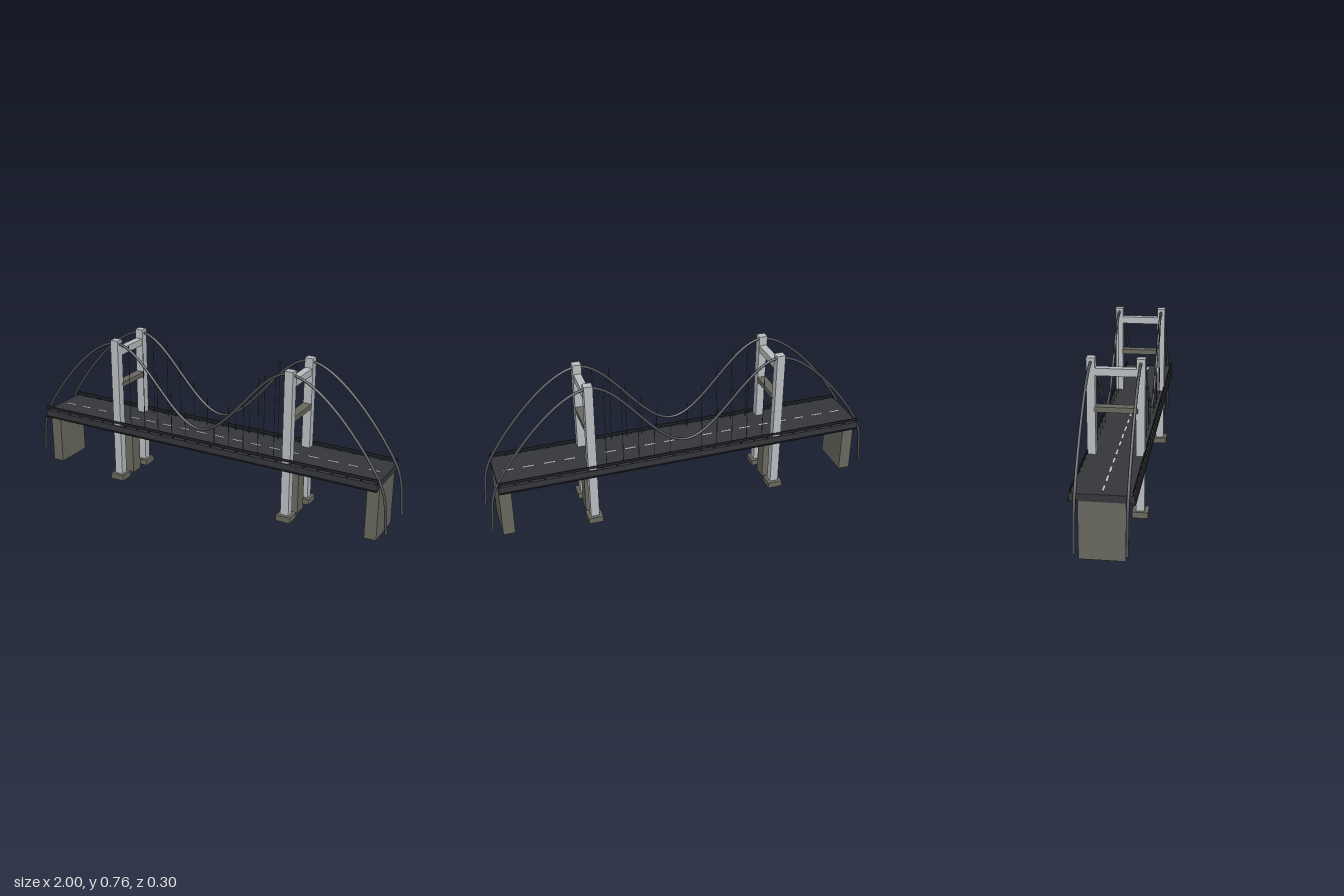
import * as THREE from 'three';

const mat = (color) => new THREE.MeshStandardMaterial({ color });

export function createModel() {
  const bridge = new THREE.Group();
  bridge.name = 'suspensionBridge';

  const asphalt = mat(0x34363a);
  const darkSteel = mat(0x222326);
  const concrete = mat(0x68685f);
  const towerSteel = mat(0xb9bdc0);
  const cableSteel = mat(0x4a4d52);
  const paint = mat(0xdddddd);

  const add = (name, geometry, material, x, y, z, parent = bridge) => {
    const mesh = new THREE.Mesh(geometry, material);
    mesh.name = name;
    mesh.position.set(x, y, z);
    parent.add(mesh);
    return mesh;
  };
  // Box given by its bottom and top heights
  const box = (name, material, w, y0, y1, d, x, z, parent) =>
    add(name, new THREE.BoxGeometry(w, y1 - y0, d), material, x, (y0 + y1) / 2, z, parent);

  // Roadway
  box('deck', asphalt, 1.884, 0.27, 0.304, 0.278, 0, 0);
  for (let i = 0; i < 18; i++) {
    box('laneDash', paint, 0.055, 0.302, 0.3055, 0.008, (i - 8.5) * 0.103, 0);
  }

  // Edge girders and railings
  for (const side of [-1, 1]) {
    box('edgeGirder', darkSteel, 1.884, 0.267, 0.273, 0.012, 0, side * 0.139);
    const railing = new THREE.Group();
    railing.name = 'railing';
    bridge.add(railing);
    box('handrail', darkSteel, 1.884, 0.314, 0.327, 0.006, 0, side * 0.133, railing);
    for (let i = 0; i <= 26; i++) {
      box('railPost', darkSteel, 0.008, 0.302, 0.32, 0.005, -0.936 + i * 0.072, side * 0.133, railing);
    }
  }

  // Abutments and towers
  for (const side of [-1, 1]) {
    box('abutment', concrete, 0.06, 0, 0.271, 0.204, side * 0.912, 0);

    const tower = new THREE.Group();
    tower.name = 'tower';
    tower.position.x = side * 0.484;
    bridge.add(tower);
    for (const s of [-1, 1]) {
      box('towerLeg', towerSteel, 0.043, 0.002, 0.764, 0.04, 0, s * 0.113, tower);
      box('footing', concrete, 0.074, 0, 0.03, 0.075, 0, s * 0.113, tower);
    }
    box('centrePier', concrete, 0.05, 0, 0.271, 0.068, 0, 0, tower);
    box('topBeam', towerSteel, 0.037, 0.681, 0.716, 0.19, 0, 0, tower);
    box('middleBeam', concrete, 0.045, 0.51, 0.535, 0.2, 0, 0, tower);
  }

  // Main cables, swept over the tower tops and down past the deck ends
  const path = [
    [-0.993, 0.05], [-0.942, 0.31], [-0.484, 0.746], [0, 0.376],
    [0.484, 0.746], [0.942, 0.31], [0.993, 0.05],
  ];
  const curve = new THREE.CatmullRomCurve3(path.map(([x, y]) => new THREE.Vector3(x, y, 0)));
  const cableGeometry = new THREE.TubeGeometry(curve, 120, 0.0068, 8);
  const capGeometry = new THREE.CircleGeometry(0.0068, 8).rotateX(Math.PI / 2);

  // Hanger positions along the span with their top heights
  const hangers = [[0.083, 0.45], [0.163, 0.527], [0.244, 0.63], [0.324, 0.715], [0.409, 0.742]];
  for (const z of [-0.113, 0.113]) {
    add('mainCable', cableGeometry, cableSteel, 0, 0, z);
    for (const side of [-1, 1]) {
      add('cableEnd', capGeometry, cableSteel, side * 0.993, 0.05, z);
      for (const [x, top] of hangers) {
        const h = top - 0.3;
        add('hanger', new THREE.CylinderGeometry(0.0018, 0.0018, h, 6), cableSteel, side * x, 0.3 + h / 2, z);
      }
    }
  }

  return bridge;
}
